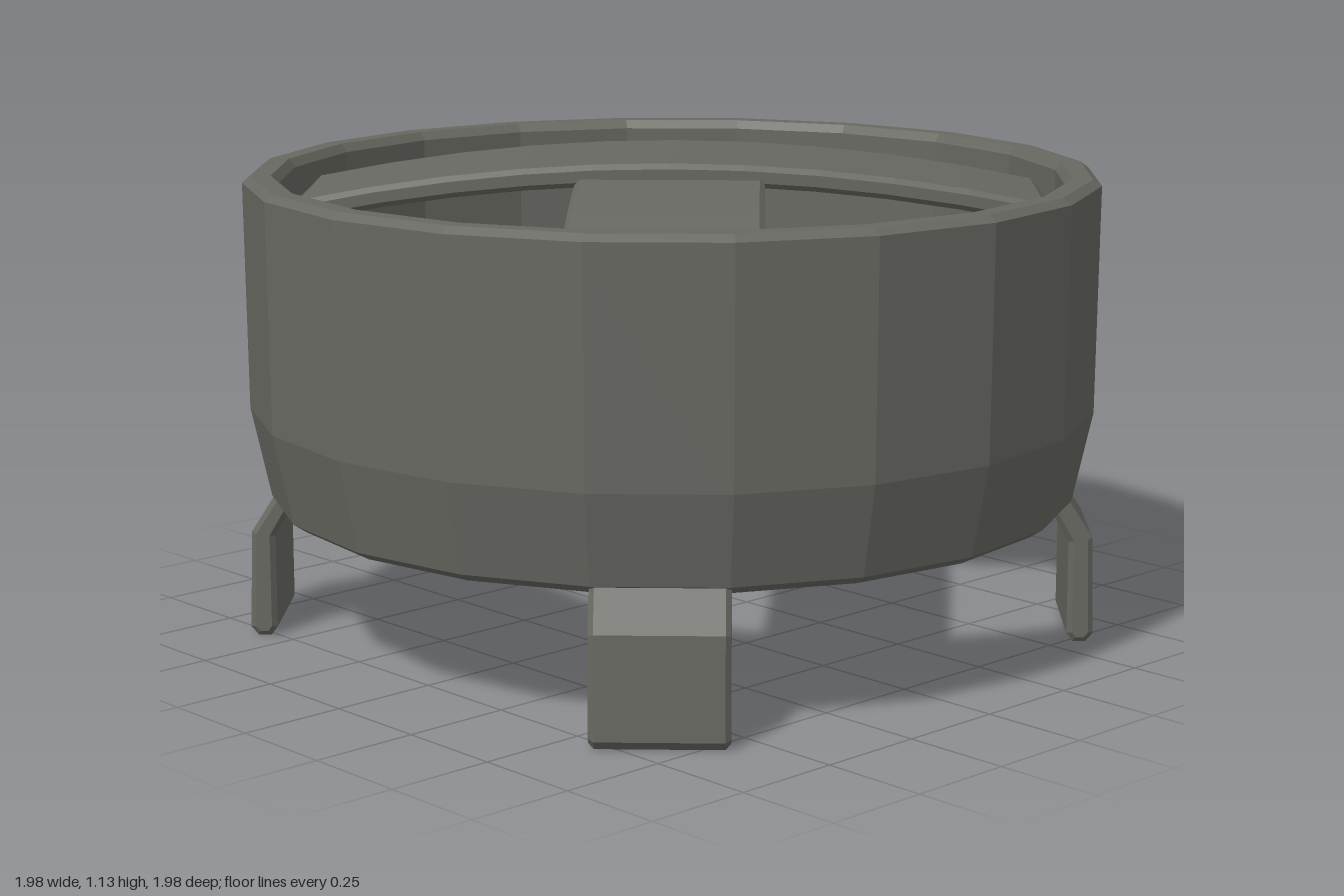
import * as THREE from 'three';

const darkMetal = new THREE.MeshStandardMaterial({ color: 0x676861 });
darkMetal.name = 'darkMetal';

// Extrudes a side profile across a given width with a small chamfer, centred on z
function strap(points, width, name) {
  const bevel = 0.012;
  const shape = new THREE.Shape(points.map(([x, y]) => new THREE.Vector2(x, y)));
  const geometry = new THREE.ExtrudeGeometry(shape, {
    depth: width - 2 * bevel, bevelEnabled: true, bevelSegments: 1,
    bevelSize: bevel, bevelThickness: bevel, bevelOffset: -bevel,
  });
  geometry.translate(0, 0, -width / 2 + bevel);
  const mesh = new THREE.Mesh(geometry, darkMetal);
  mesh.name = name;
  return mesh;
}

// Arched bar whose ends fold down along the inside of the ring
function crossBar(name, crown) {
  const outer = [], inner = [];
  const arch = (s) => crown - 0.123 * s * s;
  const steps = 10;
  for (let i = 0; i <= steps; i++) {
    const t = (i / steps) * 2 - 1;
    outer.push([t * 0.845, arch(t * 0.845)]);
    inner.push([t * 0.81, arch(t * 0.81) - 0.05]);
  }
  const foot = crown - 0.36;
  const points = [
    [-0.875, foot], [-0.875, crown - 0.12], ...outer,
    [0.875, crown - 0.12], [0.875, foot], [0.825, foot],
    [0.825, crown - 0.15], ...inner.reverse(), [-0.825, crown - 0.15], [-0.825, foot],
  ];
  return strap(points.reverse(), 0.43, name);
}

export function createModel() {
  const model = new THREE.Group();
  model.name = 'ringStand';

  // Faceted ring wall with chamfered rims and a tapered lower edge
  const profile = [
    [0.91, 0.32], [0.94, 0.34], [0.985, 0.55], [0.99, 1.075], [0.97, 1.09],
    [0.925, 1.09], [0.91, 1.07], [0.91, 0.55], [0.872, 0.35], [0.882, 0.32], [0.91, 0.32],
  ].map(([r, y]) => new THREE.Vector2(r, y));
  const ringGeometry = new THREE.LatheGeometry(profile, 20).toNonIndexed();
  ringGeometry.computeVertexNormals();
  const ring = new THREE.Mesh(ringGeometry, darkMetal);
  ring.name = 'ring';
  model.add(ring);

  // Two crossed bars, one passing under the other
  const upperBar = crossBar('upperCrossBar', 1.13);
  upperBar.rotation.y = Math.PI / 4;
  const lowerBar = crossBar('lowerCrossBar', 1.1);
  lowerBar.rotation.y = -Math.PI / 4;
  model.add(upperBar, lowerBar);

  // Four bent legs on the diagonals
  const legProfile = [
    [0.925, 0.02], [0.94, 0], [0.97, 0], [0.987, 0.02], [0.98, 0.25],
    [0.92, 0.345], [0.89, 0.39], [0.85, 0.38], [0.87, 0.335], [0.925, 0.24],
  ];
  for (let i = 0; i < 4; i++) {
    const leg = strap(legProfile, 0.3, 'leg' + (i + 1));
    leg.rotation.y = Math.PI / 4 + (i * Math.PI) / 2;
    model.add(leg);
  }
  return model;
}
